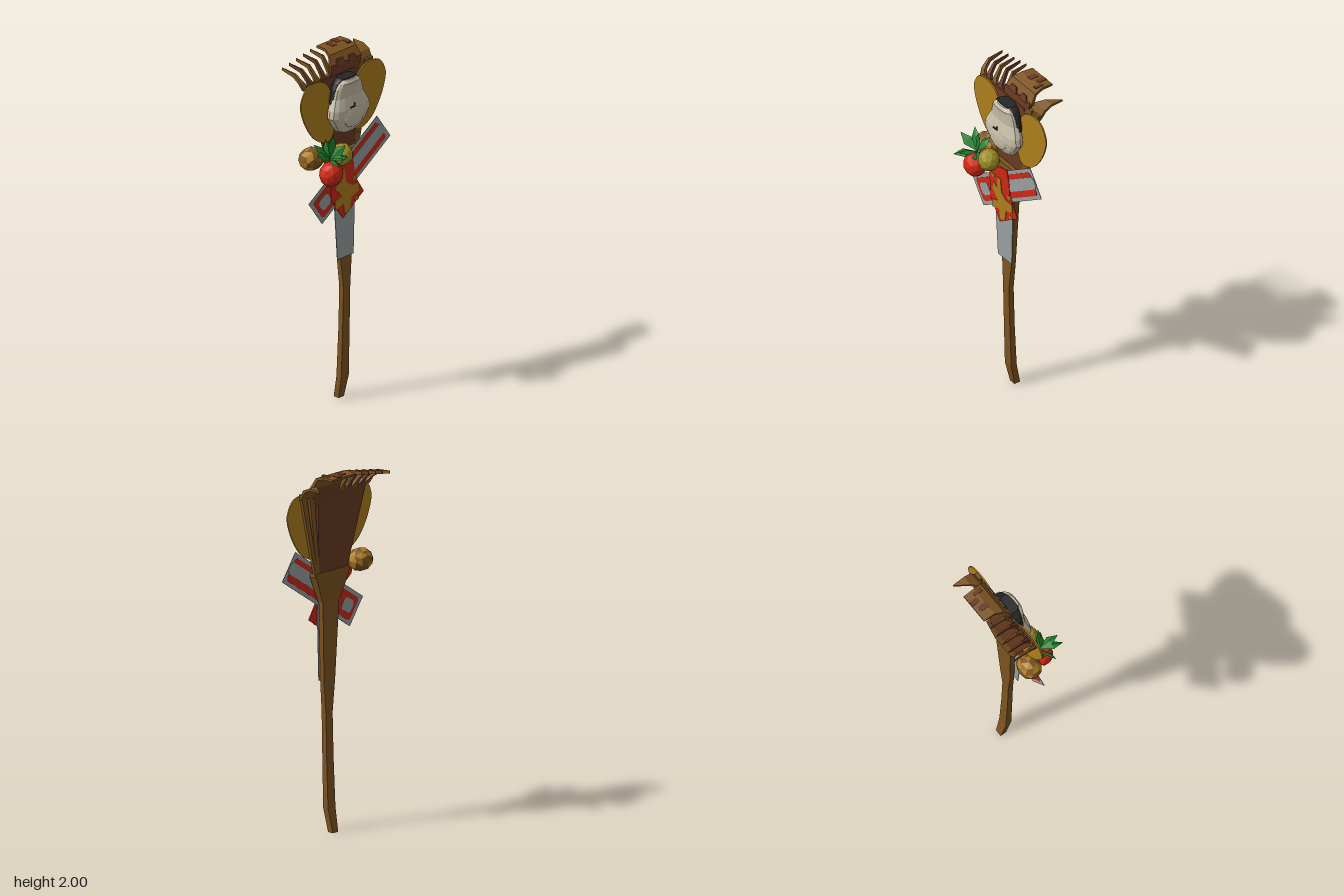
import * as THREE from 'three';

const mat = (name, color, side = THREE.FrontSide) => {
  const m = new THREE.MeshStandardMaterial({ color, side, flatShading: true });
  m.name = name;
  return m;
};

// Joins rings of points (counter-clockwise from above, bottom to top) into a capped solid
function loft(rings) {
  const n = rings[0].length, pos = [];
  const tri = (...pts) => pts.forEach(p => pos.push(...p));
  for (let i = 0; i < rings.length - 1; i++) {
    const a = rings[i], b = rings[i + 1];
    for (let j = 0; j < n; j++) {
      const k = (j + 1) % n;
      tri(a[j], a[k], b[k]);
      tri(a[j], b[k], b[j]);
    }
  }
  const bottom = rings[0], top = rings[rings.length - 1];
  for (let j = 1; j < n - 1; j++) {
    tri(top[0], top[j], top[j + 1]);
    tri(bottom[0], bottom[j + 1], bottom[j]);
  }
  const g = new THREE.BufferGeometry();
  g.setAttribute('position', new THREE.Float32BufferAttribute(pos, 3));
  g.computeVertexNormals();
  return g;
}

// Rectangular bar through sections [x, y, z, halfWidth, halfDepth, backward tilt]
const bar = sections => loft(sections.map(([x, y, z, w, d, t = 0]) => {
  const dy = Math.sin(t) * d, dz = Math.cos(t) * d;
  return [[x - w, y + dy, z + dz], [x + w, y + dy, z + dz], [x + w, y - dy, z - dz], [x - w, y - dy, z - dz]];
}));

// Rounded stack through rows [y, halfWidth, zFront, zBack]
const stack = (rows, n = 16) => loft(rows.map(([y, w, zf, zb]) => Array.from({ length: n }, (_, j) => {
  const a = j / n * Math.PI * 2, c = Math.cos(a), s = -Math.sin(a);
  const soft = v => Math.sign(v) * Math.abs(v) ** 0.75;
  return [soft(c) * w, y, (zf + zb) / 2 + soft(s) * (zf - zb) / 2];
})));

// Thin plate from an outline, centred on z
function plate(points, z, t, smooth = false) {
  const v = points.map(p => new THREE.Vector2(...p));
  const outline = smooth ? new THREE.SplineCurve([...v, v[0]]).getPoints(36).slice(0, -1) : v;
  const g = new THREE.ExtrudeGeometry(new THREE.Shape(outline), { depth: t, bevelEnabled: false });
  return g.translate(0, 0, z - t / 2);
}

// Rectangle outline with cut corners
const rect = (u, v, w, h, c) => [
  [u - w + c, v - h], [u + w - c, v - h], [u + w, v - h + c], [u + w, v + h - c],
  [u + w - c, v + h], [u - w + c, v + h], [u - w, v + h - c], [u - w, v - h + c]];

export function createModel() {
  const model = new THREE.Group();
  const wood = mat('wood', 0x7d5321), darkWood = mat('red brown wood', 0x693a22);
  const gold = mat('gold', 0xae7f1c), cream = mat('cream', 0xc6bda6), black = mat('black', 0x262626);
  const red = mat('red', 0xd02814), grey = mat('grey', 0x999f9f), olive = mat('olive yellow', 0x9f8e25);
  const green = mat('leaf green', 0x1f802b, THREE.DoubleSide);
  const add = (name, geo, material, parent = model) => {
    const m = new THREE.Mesh(geo, material);
    m.name = name;
    parent.add(m);
    return m;
  };

  // Handle with a bent foot, and the flared socket that holds the tines
  add('handle', bar([
    [0, 0, -0.05, 0.02, 0.018], [0, 0.13, -0.022, 0.028, 0.018], [0, 0.4, -0.012, 0.026, 0.016],
    [0, 0.65, -0.006, 0.025, 0.016], [0, 0.83, -0.01, 0.042, 0.014], [0, 1.29, -0.02, 0.062, 0.016]]), wood);
  add('socket', bar([[0, 1.27, -0.02, 0.066, 0.018], [0, 1.42, -0.026, 0.125, 0.026], [0, 1.44, -0.026, 0.12, 0.024]]), wood);

  // Fan of tines
  add('fanPanel', bar([[-0.005, 1.4, -0.034, 0.1, 0.008], [-0.075, 1.88, -0.036, 0.185, 0.008]]), darkWood);
  for (const [x0, x1] of [[0.1, 0.155], [0.115, 0.215]])
    add('sideTine', bar([[x0, 1.42, -0.034, 0.009, 0.009], [x1, 1.9, -0.036, 0.02, 0.008]]), wood);

  // Tips curling backward
  add('centreCurlBase', bar([[0.03, 1.82, -0.034, 0.11, 0.009], [0.04, 1.93, -0.044, 0.11, 0.009, 0.3]]), darkWood);
  add('centreCurl', bar([[0.045, 1.92, -0.044, 0.115, 0.009, 0.3], [0.05, 1.975, -0.075, 0.1, 0.008, 0.9],
    [0.056, 1.99, -0.12, 0.09, 0.008, 1.5], [0.058, 1.988, -0.187, 0.087, 0.006, 1.6]]), wood);
  for (const [x, z, w] of [[0.035, -0.14, 0.016], [0.085, -0.16, 0.014], [0.12, -0.115, 0.01]])
    add('curlPatch', new THREE.BoxGeometry(w * 2, 0.006, 0.05).translate(x, 1.996, z), darkWood);
  for (const [x, y, w] of [[0.0, 1.945, 0.035], [0.09, 1.94, 0.03]])
    add('curlFrontPatch', bar([[x, y - 0.02, -0.034, w, 0.004, 0.3], [x, y + 0.015, -0.046, w * 0.6, 0.004, 0.6]]), darkWood);
  add('sideCurl', bar([[0.185, 1.87, -0.036, 0.05, 0.008], [0.197, 1.925, -0.07, 0.045, 0.008, 0.9],
    [0.215, 1.945, -0.11, 0.028, 0.007, 1.3], [0.24, 1.945, -0.183, 0.002, 0.005, 1.5]]), wood);
  for (let i = 0; i < 5; i++) {
    const x = -0.29 + i * 0.0525, y = 1.945 + i * 0.01;
    add('curlTip', bar([[x * 0.9 + 0.005, 1.86, -0.036, 0.026, 0.008], [x + 0.012, 1.9, -0.055, 0.012, 0.009, 0.5],
      [x + 0.004, y - 0.012, -0.095, 0.006, 0.012, 1.1], [x, y, -0.184, 0.0015, 0.008, 1.5]]), i % 2 ? darkWood : wood);
  }

  // Ears
  const ear = [[0.06, 1.62], [0.09, 1.53], [0.15, 1.525], [0.22, 1.57], [0.28, 1.66], [0.315, 1.76],
    [0.308, 1.82], [0.27, 1.875], [0.2, 1.888], [0.13, 1.86], [0.08, 1.78]];
  add('leftEar', plate(ear, -0.02, 0.008, true), gold);
  add('rightEar', plate(ear.map(([x, y]) => [-x, y]).reverse(), -0.02, 0.008, true), gold);

  // Face with a dark crown band and a small nose
  const face = [[1.56, 0.04, 0.03, -0.01], [1.58, 0.085, 0.05, -0.02], [1.62, 0.115, 0.064, -0.022],
    [1.67, 0.145, 0.07, -0.024], [1.71, 0.138, 0.068, -0.026], [1.77, 0.108, 0.05, -0.028],
    [1.82, 0.095, 0.052, -0.03], [1.85, 0.078, 0.056, -0.03], [1.868, 0.05, 0.046, -0.025]];
  add('face', stack(face), cream);
  add('crownBand', stack([[1.745, 0.123, 0.026, -0.02], [1.77, 0.113, 0.034, -0.032], [1.82, 0.1, 0.036, -0.034],
    [1.85, 0.084, 0.038, -0.034], [1.873, 0.056, 0.036, -0.032]]), black);
  add('muzzle', new THREE.IcosahedronGeometry(1, 1).scale(0.075, 0.06, 0.014).translate(0, 1.655, 0.062), cream);
  add('noseLine', new THREE.BoxGeometry(0.032, 0.006, 0.006).translate(-0.016, 1.718, 0.07), black);
  add('noseSide', new THREE.BoxGeometry(0.005, 0.022, 0.006).translate(0, 1.727, 0.069), black);

  // Grey tail and the framed banner lying diagonally over it
  add('tail', plate([[-0.07, 0.83], [0.05, 0.83], [0.062, 1.25], [-0.1, 1.25]], 0.008, 0.004), grey);
  const banner = new THREE.Group();
  banner.name = 'banner';
  banner.position.set(0.015, 1.325, 0.014);
  banner.rotation.z = 0.602;
  model.add(banner);
  add('bannerEdge', plate(rect(0, 0, 0.309, 0.088, 0.002), 0, 0.003), grey, banner);
  add('bannerField', plate(rect(0, 0, 0.286, 0.066, 0.012), 0, 0.006), red, banner);
  add('longWindow', plate(rect(0.15, 0.004, 0.155, 0.034, 0.016), 0, 0.009), grey, banner);
  add('shortWindow', plate(rect(-0.225, 0.002, 0.04, 0.036, 0.014), 0, 0.009), grey, banner);
  add('crossBanner', plate([[-0.038, 1.065], [0.115, 1.175], [0.05, 1.28], [0.04, 1.37], [0.02, 1.44],
    [-0.09, 1.41], [-0.13, 1.38], [-0.125, 1.19]], 0.0185, 0.005), red);
  add('goldBlotch', plate([[-0.06, 1.35], [-0.03, 1.35], [-0.02, 1.27], [0.02, 1.24], [0.07, 1.24], [0.075, 1.19],
    [0.02, 1.17], [0.01, 1.1], [-0.03, 1.09], [-0.04, 1.15], [-0.1, 1.13], [-0.1, 1.18], [-0.05, 1.2],
    [-0.1, 1.25], [-0.09, 1.3], [-0.06, 1.28]], 0.022, 0.005), gold);
  for (const [x, y] of [[0.045, 1.275], [-0.095, 1.34], [0.06, 1.15]])
    add('goldSpot', plate(rect(x, y, 0.014, 0.011, 0.006), 0.022, 0.005), gold);

  // Fruit cluster
  add('redFruit', new THREE.IcosahedronGeometry(1, 1).scale(0.068, 0.072, 0.062).translate(-0.183, 1.385, 0.076), red);
  add('yellowFruit', new THREE.IcosahedronGeometry(1, 1).scale(0.06, 0.063, 0.06).translate(-0.085, 1.462, 0.058), olive);
  const nut = new THREE.IcosahedronGeometry(1, 1).scale(0.075, 0.064, 0.065).translate(-0.22, 1.45, -0.035);
  for (let i = 0; i < 80; i++) nut.addGroup(i * 3, 3, i % 7 < 3 ? 1 : 0);
  add('mottledFruit', nut, [wood, gold]);

  // Leaves: folded diamonds fanning out from the stem
  const stem = new THREE.Vector3(-0.18, 1.465, 0.065);
  const tips = [[-0.23, 1.47, 0.185], [-0.188, 1.5, 0.18], [-0.3, 1.53, 0.085], [-0.16, 1.6, 0.07],
    [-0.11, 1.54, 0.11], [-0.26, 1.56, 0.02], [-0.11, 1.475, 0.125], [-0.15, 1.55, 0.0]];
  for (const p of tips) {
    const tip = new THREE.Vector3(...p), dir = tip.clone().sub(stem);
    const side = new THREE.Vector3(0, 0.75, 0.65).cross(dir).setLength(0.028);
    const mid = stem.clone().addScaledVector(dir, 0.55);
    const l = mid.clone().add(side), r = mid.clone().sub(side);
    mid.y += 0.012;
    const g = new THREE.BufferGeometry().setFromPoints([stem, mid, l, l, mid, tip, stem, r, mid, mid, r, tip]);
    g.computeVertexNormals();
    add('leaf', g, green);
  }
  return model;
}
